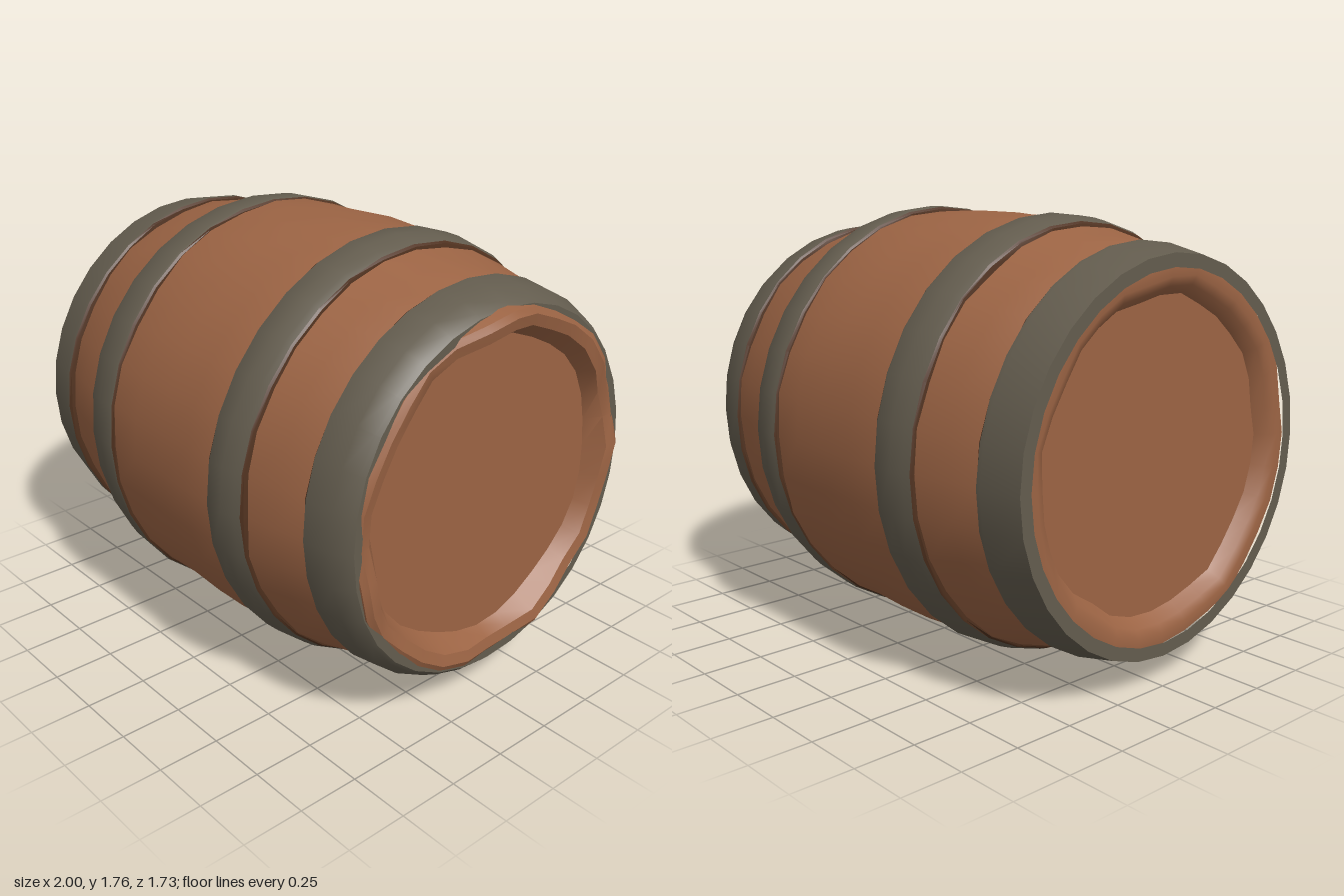
import * as THREE from 'three';
import { toCreasedNormals } from 'three/addons/utils/BufferGeometryUtils.js';

const AXIS_Y = 0.883;
const SEGMENTS = 32;

// Lathe around the x axis; points are [x, radius]; warp(x, r, angle) returns the uneven [x, r]
function turned(points, warp, crease = 0.6) {
  const profile = points.map(([x, r]) => new THREE.Vector2(r, x));
  const geo = new THREE.LatheGeometry(profile, SEGMENTS);
  geo.rotateZ(-Math.PI / 2);
  const pos = geo.attributes.position;
  for (let i = 0; i < pos.count; i++) {
    const y = pos.getY(i), z = pos.getZ(i);
    const angle = Math.atan2(z, y); // zero at the top
    const [x, r] = warp(pos.getX(i), Math.hypot(y, z), angle);
    pos.setXYZ(i, x, r * Math.cos(angle), r * Math.sin(angle) * 0.985);
  }
  return toCreasedNormals(geo, crease);
}

// Worn, hand-cut wood: shallow dents on the staves and chipped rims
function wornWood(x, r, a) {
  if (r < 0.5) return [x, r];
  if (x > 0.92) {
    const chip = 0.01 * Math.sin(7 * a + 1) + 0.008 * Math.sin(11 * a);
    const spike = 0.035 * Math.exp(-a * a * 10);
    return [Math.min(1, x + chip + spike), r + 0.008 * Math.sin(9 * a + 2)];
  }
  if (x < -0.9) return [x, r + 0.008 * Math.sin(8 * a) + 0.005 * Math.sin(13 * a)];
  if (x > 0.85) return [x, r + 0.01 * Math.sin(6 * a + 1)];
  const dent = Math.sin(5 * a + 9 * x) * Math.sin(3 * a - 6 * x) + 0.5 * Math.sin(11 * a + 14 * x);
  return [x, r - 0.004 + 0.006 * dent];
}

export function createModel() {
  const wood = new THREE.MeshStandardMaterial({ color: 0x9c6444 });
  const iron = new THREE.MeshStandardMaterial({ color: 0x635c4e });
  const darkWood = new THREE.MeshStandardMaterial({ color: 0x51321f });
  wood.name = 'wood';
  iron.name = 'iron';
  darkWood.name = 'darkWood';

  const barrel = new THREE.Group();
  barrel.name = 'barrel';
  barrel.position.y = AXIS_Y;
  const add = (name, geo, material) => {
    const mesh = new THREE.Mesh(geo, material);
    mesh.name = name;
    barrel.add(mesh);
  };

  // Staves with both rims and the recessed heads
  add('staves', turned([
    [-0.93, 0], [-0.93, 0.6], [-0.975, 0.635], [-0.99, 0.67], [-0.985, 0.715],
    [-0.9, 0.74], [-0.8, 0.777], [-0.68, 0.805], [-0.55, 0.833], [-0.36, 0.865],
    [-0.18, 0.871], [0, 0.873], [0.16, 0.871], [0.31, 0.865], [0.49, 0.833],
    [0.62, 0.806], [0.75, 0.775], [0.84, 0.745], [0.94, 0.715], [0.955, 0.69],
    [0.945, 0.645], [0.88, 0.6], [0.88, 0],
  ], wornWood), wood);

  // Iron hoops, each a profile from its left edge to its right edge
  const hoops = {
    rightEndHoop: [[-1, 0.705], [-1, 0.757], [-0.84, 0.793], [-0.82, 0.792]],
    rightBellyHoop: [[-0.53, 0.852], [-0.5, 0.864], [-0.44, 0.875], [-0.365, 0.88], [-0.355, 0.876]],
    leftBellyHoop: [[0.31, 0.876], [0.32, 0.88], [0.39, 0.876], [0.45, 0.864], [0.475, 0.852]],
    leftEndHoop: [[0.75, 0.79], [0.77, 0.79], [0.87, 0.775], [0.93, 0.745], [0.945, 0.73], [0.945, 0.695]],
  };
  const bend = (x, r, a) => [x, r + 0.003 * Math.sin(4 * a + 5 * x) - 0.003];
  const ragged = (edge) => (x, r, a) => [
    x === edge || Math.abs(x - edge) < 1e-5 ? x : x + 0.003 * Math.sin(13 * a) + 0.003 * Math.sin(8 * a + 1),
    r + 0.003 * Math.sin(4 * a + 5 * edge) - 0.003,
  ];

  for (const [name, profile] of Object.entries(hoops)) {
    add(name, turned(profile, bend, 0.7), iron);
    // Dark ragged edges where the hoop meets the staves
    const [x0, r0] = profile[0];
    const [x1, r1] = profile[profile.length - 1];
    if (x0 > -0.9) {
      add(name + 'RightEdge', turned([[x0 - 0.01, r0 - 0.035], [x0 - 0.007, r0 - 0.008], [x0, r0]], ragged(x0)), darkWood);
    }
    if (x1 < 0.9) {
      add(name + 'LeftEdge', turned([[x1, r1], [x1 + 0.007, r1 - 0.008], [x1 + 0.01, r1 - 0.035]], ragged(x1)), darkWood);
    }
  }

  const model = new THREE.Group();
  model.name = 'model';
  model.add(barrel);
  return model;
}
